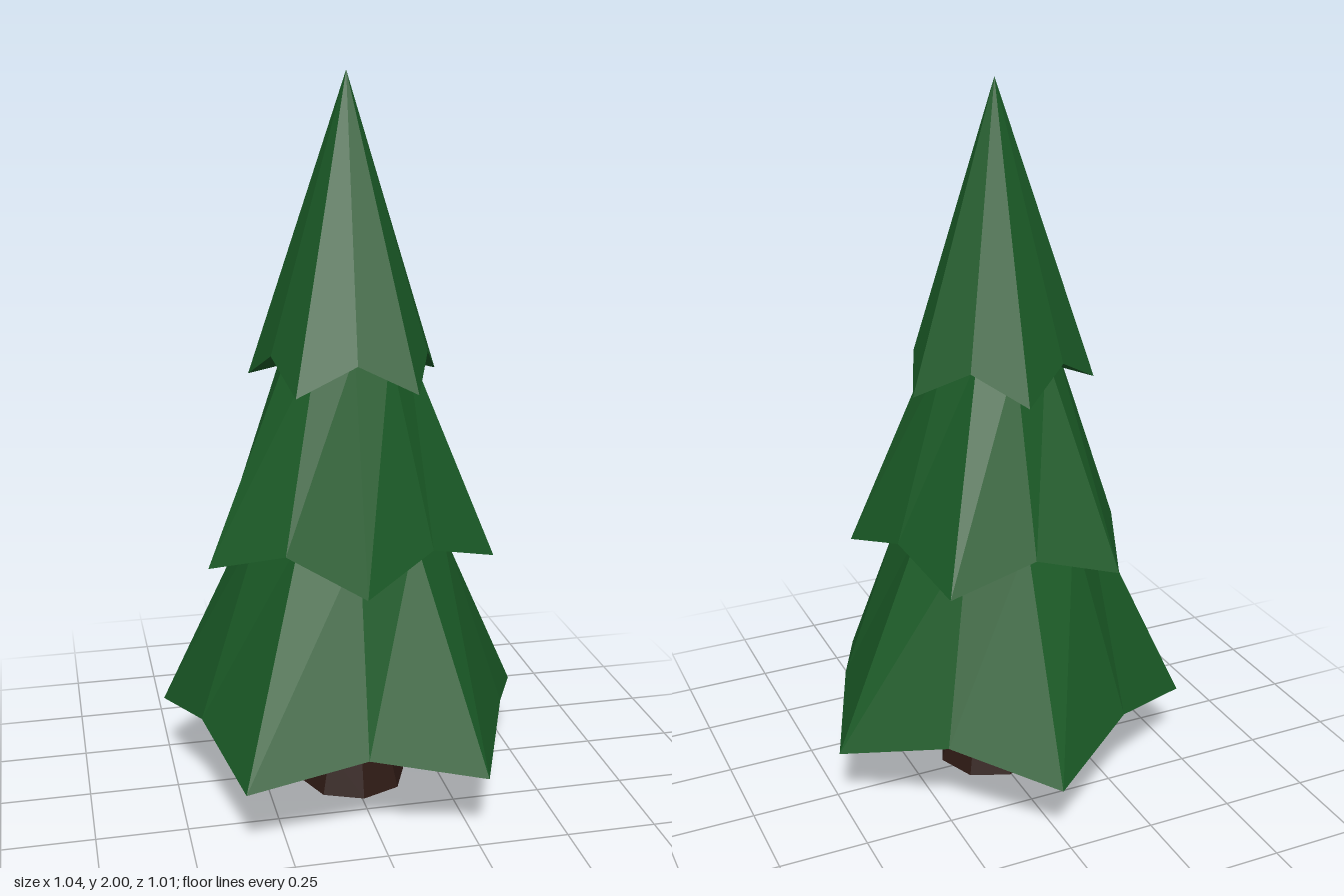
import * as THREE from 'three';

const green = new THREE.MeshStandardMaterial({ color: 0x1a5a26, flatShading: true });
const brown = new THREE.MeshStandardMaterial({ color: 0x2e1a14, flatShading: true });

// Five-pointed skirt of branches: drooping corners alternate with raised
// midpoints, tapering to a ten-sided ring (or a tip when topRadius is 0).
function tierGeometry({ radius, y, lift, topRadius, topY, turn }) {
  const sides = 10;
  const innerRadius = radius * Math.cos(Math.PI / 5);
  const start = THREE.MathUtils.degToRad(turn);
  const rim = [], ring = [];
  for (let i = 0; i < sides; i++) {
    const a = start + (i * 2 * Math.PI) / sides;
    const isMid = i % 2 === 1;
    const r = isMid ? innerRadius : radius;
    rim.push([r * Math.cos(a), isMid ? y + lift : y, r * Math.sin(a)]);
    ring.push([topRadius * Math.cos(a), topY, topRadius * Math.sin(a)]);
  }
  const positions = [];
  const tri = (a, b, c) => positions.push(...a, ...b, ...c);
  const underside = [0, y + lift, 0];
  const top = [0, topY, 0];
  for (let i = 0; i < sides; i++) {
    const j = (i + 1) % sides;
    tri(rim[i], ring[i], rim[j]);
    if (topRadius > 0) {
      tri(rim[j], ring[i], ring[j]);
      tri(top, ring[j], ring[i]);
    }
    tri(underside, rim[i], rim[j]);
  }
  const geometry = new THREE.BufferGeometry();
  geometry.setAttribute('position', new THREE.Float32BufferAttribute(positions, 3));
  geometry.computeVertexNormals();
  return geometry;
}

export function createModel() {
  const tree = new THREE.Group();
  tree.name = 'pineTree';

  // Foliage, from the widest tier up to the pointed top
  const tiers = [
    { name: 'lowerBranches', radius: 0.546, y: 0.195, lift: 0.075, topRadius: 0.262, topY: 0.8, turn: -13.5 },
    { name: 'middleBranches', radius: 0.411, y: 0.705, lift: 0.075, topRadius: 0.165, topY: 1.29, turn: 22.5 },
    { name: 'topBranches', radius: 0.273, y: 1.19, lift: 0.08, topRadius: 0, topY: 2, turn: -13.5 },
  ];
  for (const tier of tiers) {
    const mesh = new THREE.Mesh(tierGeometry(tier), green);
    mesh.name = tier.name;
    mesh.position.set(-0.013, 0, 0.038);
    tree.add(mesh);
  }

  // Eight-sided trunk, flared at the foot
  const profile = [[0, 0], [0.153, 0], [0.121, 0.12], [0.104, 0.29], [0, 0.29]]
    .map(([r, y]) => new THREE.Vector2(r, y));
  const trunk = new THREE.Mesh(new THREE.LatheGeometry(profile, 8), brown);
  trunk.name = 'trunk';
  trunk.position.set(0.005, 0, 0.04);
  tree.add(trunk);

  return tree;
}
